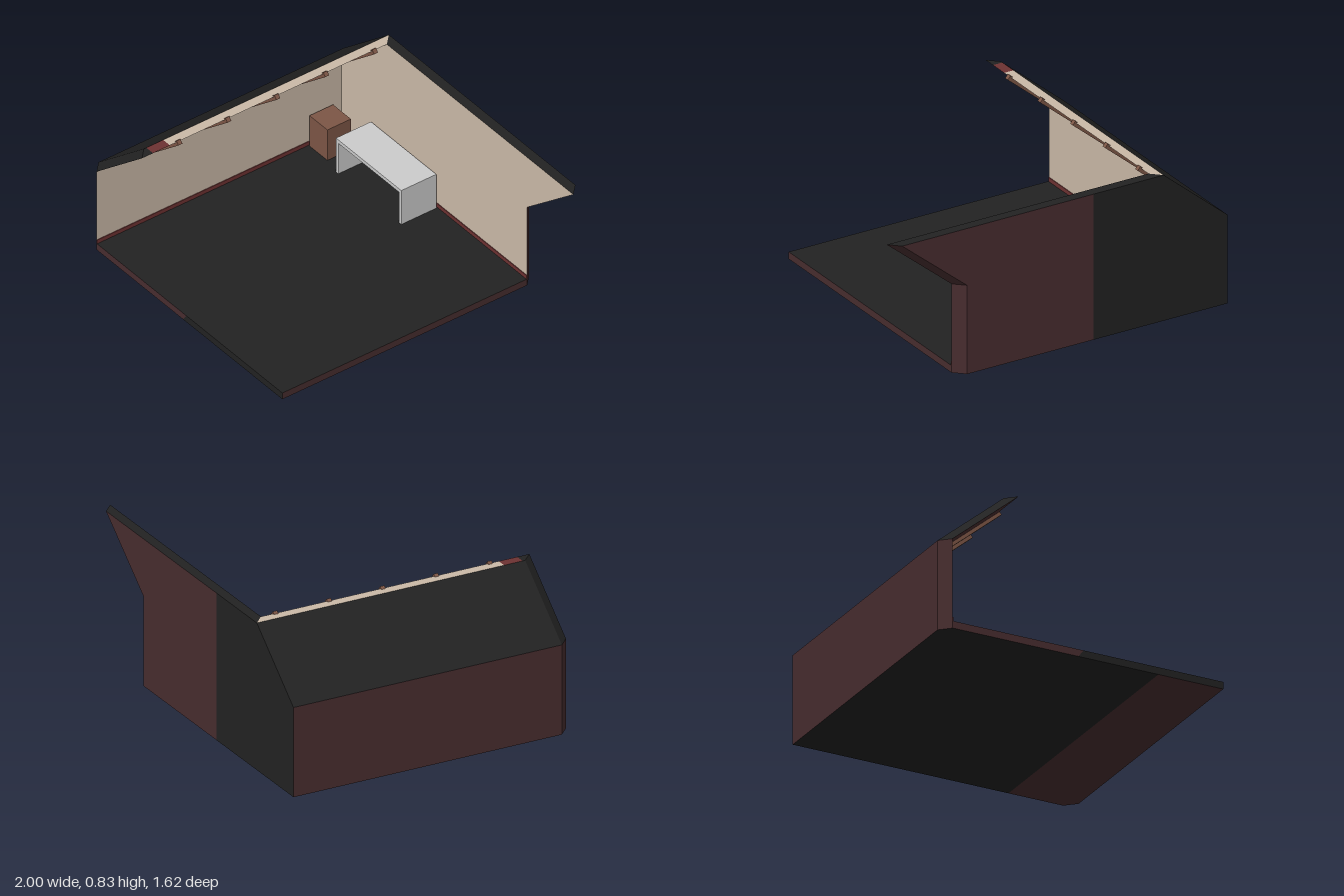
import * as THREE from 'three';

const mat = (name, color) => Object.assign(new THREE.MeshStandardMaterial({ color }), { name });
const charcoal = mat('charcoal', 0x222222);
const maroon = mat('dark maroon', 0x482d2f);
const cream = mat('cream', 0xcbbaa8);
const red = mat('skirting red', 0x6e3232);
const brown = mat('wood brown', 0x7d5646);
const gray = mat('light gray', 0xcccccc);

// Builds a part from flat polygons [material, ...corners], each turned to face away from centre
function facetPart(name, centre, faces) {
  const pos = [], mats = [], geo = new THREE.BufferGeometry();
  const c = new THREE.Vector3(...centre);
  for (const [m, ...corners] of faces) {
    const p = corners.map((q) => new THREE.Vector3(...q));
    const n = p[1].clone().sub(p[0]).cross(p[2].clone().sub(p[0]));
    if (n.dot(p[0].clone().sub(c)) < 0) p.reverse().unshift(p.pop());
    const start = pos.length / 3;
    for (let i = 1; i < p.length - 1; i++) {
      for (const v of [p[0], p[i], p[i + 1]]) pos.push(v.x, v.y, v.z);
    }
    if (!mats.includes(m)) mats.push(m);
    geo.addGroup(start, pos.length / 3 - start, mats.indexOf(m));
  }
  geo.setAttribute('position', new THREE.Float32BufferAttribute(pos, 3));
  geo.computeVertexNormals();
  const mesh = new THREE.Mesh(geo, mats);
  mesh.name = name;
  return mesh;
}

// Box given by its low and high corners
function box(name, m, [x0, y0, z0], [x1, y1, z1]) {
  const mesh = new THREE.Mesh(new THREE.BoxGeometry(x1 - x0, y1 - y0, z1 - z0), m);
  mesh.position.set((x0 + x1) / 2, (y0 + y1) / 2, (z0 + z1) / 2);
  mesh.name = name;
  return mesh;
}

export function createModel() {
  const model = new THREE.Group();
  model.name = 'cutawayAtticRoom';

  // Outer (o) and inner (i) shell planes; open ends are mitred between them
  const xo = -1, xi = -0.943, zo = -0.808, zi = -0.752, fo = 0.752, fi = 0.808;
  const ro = 0.555, ri = 0.613, F = 0.04, E = 0.5, T = 0.82;
  const to = -0.62, ti = -0.563, so = 0.943, si = 1;
  const split = -0.2, under = 0.24;

  // Floor slab, with the underside of the walls
  model.add(facetPart('floor', [-0.2, 0.02, 0], [
    [charcoal, [xi, F, zi], [xi, F, fi], [ri, F, fi], [ri, F, zi]],
    [charcoal, [xo, 0, zo], [under, 0, zo], [under, 0, fi], [xi, 0, fi], [xo, 0, fo]],
    [maroon, [under, 0, zo], [ro, 0, zo], [ri, 0, zi], [ri, 0, fi], [under, 0, fi]],
    [maroon, [xi, 0, fi], [split - 0.02, 0, fi], [split + 0.01, F, fi], [xi, F, fi]],
    [charcoal, [split - 0.02, 0, fi], [ri, 0, fi], [ri, F, fi], [split + 0.01, F, fi]],
    [maroon, [ri, 0, zi], [ri, 0, fi], [ri, F, fi], [ri, F, zi]],
  ]));

  // Back wall with the cut end of the opposite roof slope
  model.add(facetPart('backWall', [-0.2, 0.4, (zo + zi) / 2], [
    [cream, [xi, F, zi], [ri, F, zi], [ri, E, zi], [si, T, zi], [ti, T, zi], [xi, E, zi]],
    [charcoal, [xo, 0, zo], [split, 0, zo], [split, T, zo], [to, T, zo], [xo, E, zo]],
    [maroon, [split, 0, zo], [ro, 0, zo], [ro, E, zo], [so, T, zo], [split, T, zo]],
    [maroon, [ro, 0, zo], [ri, 0, zi], [ri, E, zi], [ro, E, zo]],
    [maroon, [ro, E, zo], [ri, E, zi], [si, T, zi], [so, T, zo]],
    [charcoal, [to, T, zo], [so, T, zo], [si, T, zi], [ti, T, zi]],
  ]));

  // Low side wall
  model.add(facetPart('sideWall', [(xo + xi) / 2, 0.25, 0], [
    [cream, [xi, F, zi], [xi, F, fi], [xi, E, fi], [xi, E, zi]],
    [maroon, [xo, 0, zo], [xo, 0, fo], [xo, E, fo], [xo, E, zo]],
    [maroon, [xo, 0, fo], [xi, 0, fi], [xi, E, fi], [xo, E, fo]],
  ]));

  // Sloping roof with its level cut edge
  const c1 = 0.63, c2 = 0.737;
  model.add(facetPart('roof', [-0.782, 0.66, 0], [
    [charcoal, [xo, E, zo], [xo, E, fo], [to, T, fo], [to, T, zo]],
    [maroon, [xi, E, zi], [xi, E, fi], [ti, T, fi], [ti, T, zi]],
    [charcoal, [xo, E, fo], [xi, E, fi], [ti, T, fi], [to, T, fo]],
    [cream, [to, T, zo], [to, T, c1], [ti, T, c1], [ti, T, zi]],
    [red, [to, T, c1], [to, T, c2], [ti, T, c2], [ti, T, c1]],
    [charcoal, [to, T, c2], [to, T, fo], [ti, T, fi], [ti, T, c2]],
  ]));

  // Rafters under the slope
  const angle = Math.atan2(T - E, to - xo);
  for (let i = 0; i < 5; i++) {
    const rafter = new THREE.Mesh(new THREE.BoxGeometry(0.515, 0.026, 0.025), brown);
    rafter.position.set(-0.749, 0.656, 0.577 - i * 0.3115);
    rafter.rotation.z = angle;
    rafter.name = 'rafter';
    model.add(rafter);
  }

  // Skirting strips
  model.add(box('backSkirting', red, [xi, F, zi], [ri, 0.063, zi + 0.004]));
  model.add(box('sideSkirting', red, [xi, F, zi], [xi + 0.004, 0.063, fi]));

  // Desk: top and two panel legs
  const desk = new THREE.Group();
  desk.name = 'desk';
  desk.add(box('deskTop', gray, [-0.68, 0.235, -0.74], [-0.133, 0.257, -0.517]));
  for (const x of [-0.68, -0.153]) {
    desk.add(box('deskLeg', gray, [x, F, -0.74], [x + 0.02, 0.235, -0.517]));
  }
  model.add(desk);

  // Small cabinet
  model.add(box('cabinet', brown, [-0.932, F, -0.69], [-0.782, 0.235, -0.54]));
  return model;
}
